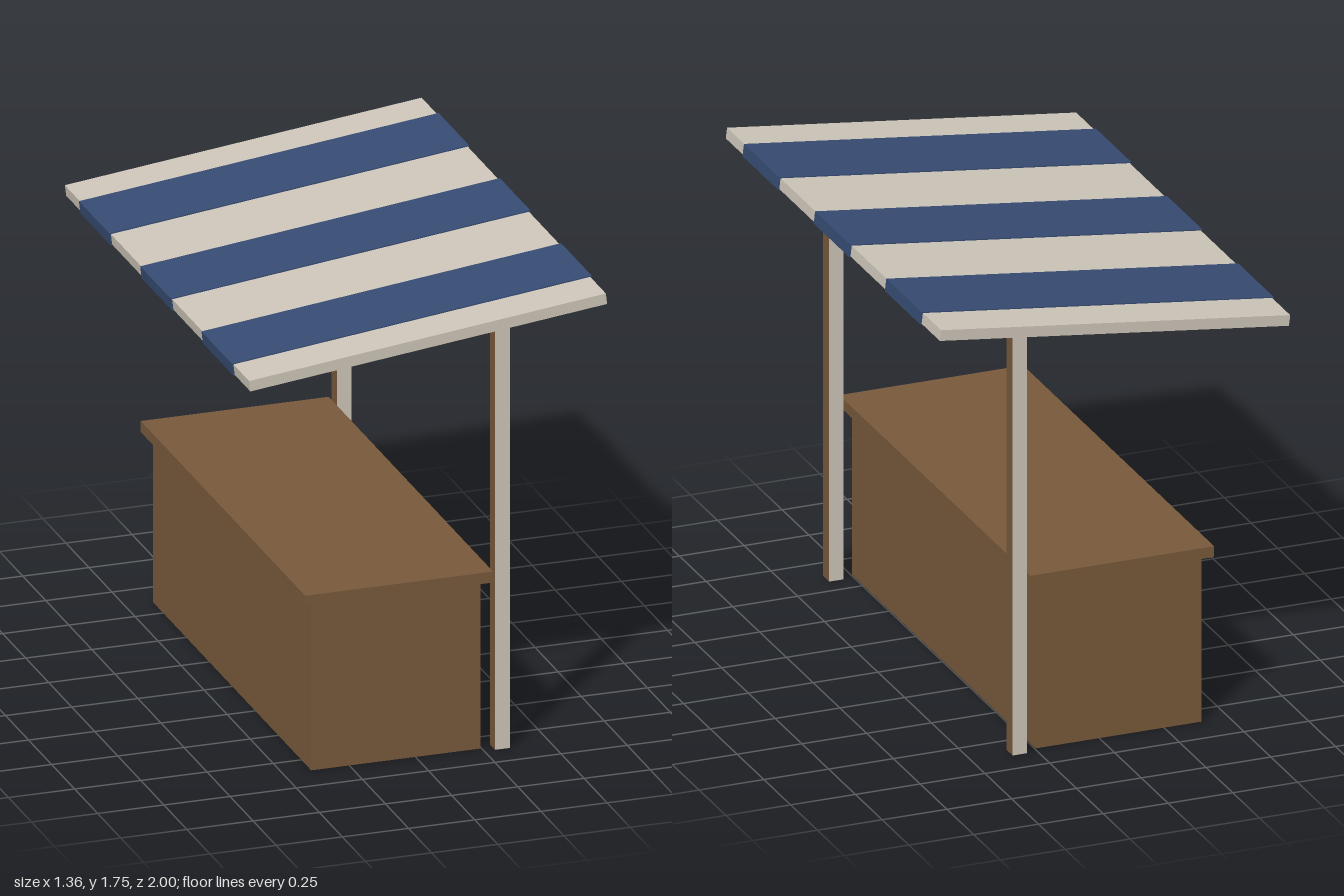
import * as THREE from 'three';

export function createModel() {
  const model = new THREE.Group();
  model.name = 'marketStall';

  const mat = (name, color) => {
    const m = new THREE.MeshStandardMaterial({ color });
    m.name = name;
    return m;
  };
  const wood = mat('brownWood', 0x78593a);
  const canvas = mat('beigeCanvas', 0xcdc5b8);
  const blue = mat('blueStripe', 0x364b72);

  const box = (parent, name, size, pos, material) => {
    const mesh = new THREE.Mesh(new THREE.BoxGeometry(...size), material);
    mesh.name = name;
    mesh.position.set(...pos);
    parent.add(mesh);
    return mesh;
  };

  // Counter with an overhanging top
  box(model, 'counterBody', [0.64, 0.647, 1.715], [-0.074, 0.3235, 0], wood);
  box(model, 'counterTop', [0.71, 0.042, 1.785], [-0.074, 0.667, 0], wood);

  // Posts: wooden sides, pale front and back faces
  const postFaces = [wood, wood, wood, wood, canvas, canvas];
  for (const side of [1, -1]) {
    box(model, side > 0 ? 'frontPost' : 'backPost', [0.056, 1.645, 0.056],
      [0.318, 0.8225, side * 0.858], postFaces);
  }

  // Sloping roof with three slightly proud stripes
  const roof = new THREE.Group();
  roof.name = 'roof';
  roof.position.set(-0.002, 1.645, 0);
  roof.rotation.z = 0.118;
  model.add(roof);
  box(roof, 'roofPanel', [1.357, 0.041, 2], [0, 0, 0], canvas);
  for (const z of [-0.665, 0, 0.665]) {
    box(roof, 'roofStripe', [1.368, 0.047, 0.33], [0, 0.001, z], blue);
  }

  return model;
}
